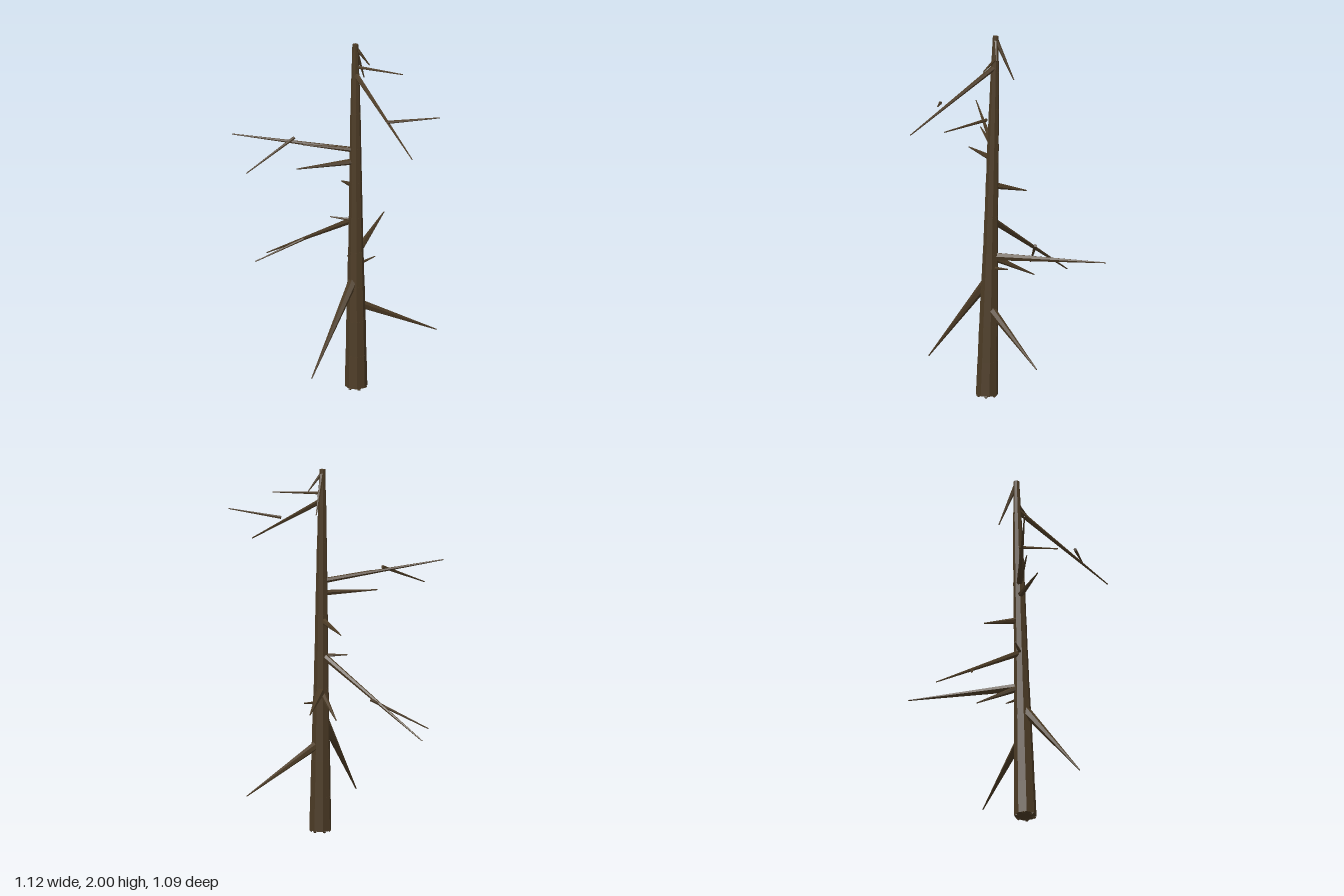
import * as THREE from 'three';

const V = (a) => new THREE.Vector3(...a);

// Tapered low-poly limb between two points
function limb(name, from, to, r0, r1, sides, material) {
  const a = V(from), b = V(to), dir = b.clone().sub(a);
  const mesh = new THREE.Mesh(new THREE.CylinderGeometry(r1, r0, dir.length(), sides), material);
  mesh.position.copy(a).add(b).multiplyScalar(0.5);
  mesh.quaternion.setFromUnitVectors(new THREE.Vector3(0, 1, 0), dir.normalize());
  mesh.name = name;
  return mesh;
}

export function createModel() {
  const model = new THREE.Group();
  model.name = 'deadTree';
  const bark = new THREE.MeshStandardMaterial({ color: 0x4d3c26 });
  bark.name = 'darkBark';
  bark.flatShading = true;

  // Trunk: ten stacked sections, leaning slightly back
  const radii = [0.061, 0.056, 0.052, 0.047, 0.041, 0.037, 0.034, 0.031, 0.027, 0.022, 0.015];
  const axis = (y) => [0.104, y, 0.067 - 0.0245 * y];
  const trunk = new THREE.Group();
  trunk.name = 'trunk';
  for (let i = 0; i < 10; i++) {
    const y0 = i === 0 ? 0.015 : i * 0.2;
    const section = limb('trunkSection', axis(y0), axis(i * 0.2 + 0.2),
      radii[i], radii[i + 1] + 0.001, 8, bark);
    trunk.add(section);
  }
  model.add(trunk);

  // Root nubs around the foot
  const roots = new THREE.Group();
  roots.name = 'roots';
  for (let i = 0; i < 6; i++) {
    const a = i * Math.PI / 3 + 0.3, c = Math.cos(a), s = Math.sin(a);
    roots.add(limb('root', [0.104 + c * 0.035, 0.03, 0.067 + s * 0.035],
      [0.104 + c * 0.054, 0.008, 0.067 + s * 0.054], 0.014, 0.008, 5, bark));
  }
  model.add(roots);

  // Main branches: height on the trunk, tip, base radius
  const branches = [
    [0.66, [-0.16, 0.18, 0.33], 0.028],
    [0.50, [0.555, 0.25, -0.11], 0.025],
    [0.78, [0.31, 0.762, -0.545], 0.024],
    [0.715, [0.215, 0.73, -0.025], 0.012],
    [0.78, [0.08, 0.66, -0.2], 0.02],
    [0.77, [0.31, 0.762, -0.54], 0.018],
    [0.985, [-0.33, 0.58, -0.47], 0.018],
    [0.975, [-0.03, 0.982, -0.005], 0.011],
    [1.175, [0.045, 1.12, -0.165], 0.02],
    [1.32, [-0.22, 1.312, 0.095], 0.018],
    [1.385, [-0.56, 1.483, -0.018], 0.015],
    [1.385, [-0.18, 1.43, 0.04], 0.015],
    [1.83, [0.365, 1.54, 0.545], 0.015],
    [1.87, [0.35, 1.865, 0.14], 0.009],
    [1.985, [0.16, 1.765, -0.07], 0.013],
    [1.985, [0.18, 1.88, 0.03], 0.011],
  ].filter((b, i) => i !== 5);
  for (const [y, tip, r] of branches) {
    model.add(limb('branch', axis(y), tip, r, 0.003, 6, bark));
  }

  // Thin side twigs
  const twigs = [
    [[-0.1, 0.775, -0.245], [-0.41, 0.61, -0.286]],
    [[-0.225, 1.455, -0.002], [-0.5, 1.33, 0.17]],
    [[0.25, 1.682, 0.355], [0.525, 1.73, 0.43]],
  ];
  for (const [from, to] of twigs) {
    model.add(limb('twig', from, to, 0.009, 0.003, 6, bark));
  }
  return model;
}
